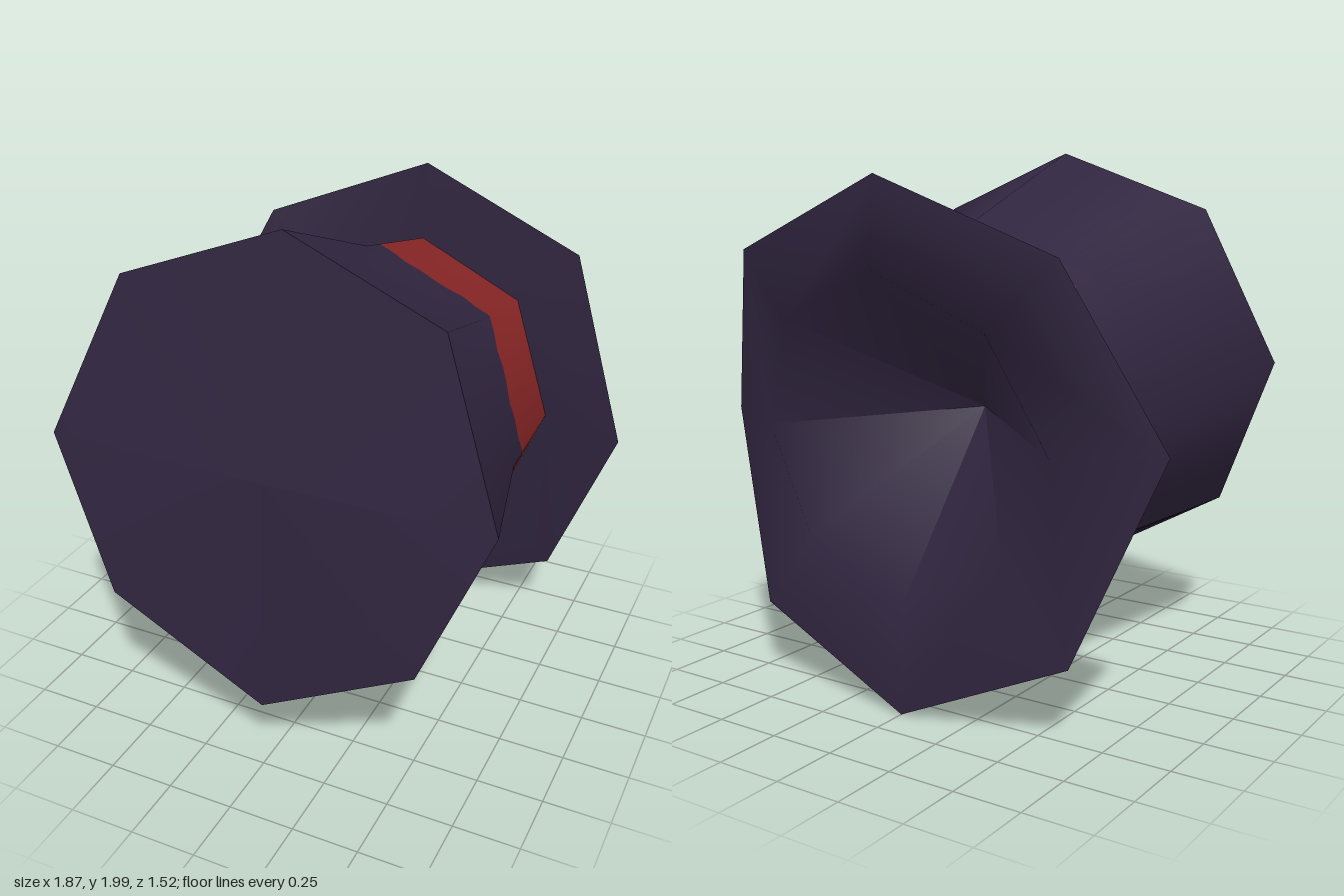
import * as THREE from 'three';

const felt = new THREE.MeshStandardMaterial({ color: 0x30253f });
felt.name = 'dark purple felt';
const ribbon = new THREE.MeshStandardMaterial({ color: 0x8a2626 });
ribbon.name = 'red ribbon';

const V = (p) => new THREE.Vector3(...p);

// Eight-cornered ring from five points of its left half, top to bottom
function ring(half) {
  const left = half.map(V);
  const mirrored = left.map((p) => new THREE.Vector3(-p.x, p.y, p.z));
  return [...mirrored, left[3], left[2], left[1]];
}

// Skin between successive rings; normals are smooth unless given
function loft(name, material, rings, normals) {
  const n = rings[0].length;
  const index = [];
  for (let r = 0; r < rings.length - 1; r++) {
    for (let i = 0; i < n; i++) {
      const j = (i + 1) % n;
      const a = r * n + i, a2 = r * n + j, b = a + n, b2 = a2 + n;
      index.push(a, b, a2, a2, b, b2);
    }
  }
  const geometry = new THREE.BufferGeometry().setFromPoints(rings.flat());
  geometry.setIndex(index);
  if (normals) {
    const flat = normals.flat().flatMap((v) => v.toArray());
    geometry.setAttribute('normal', new THREE.Float32BufferAttribute(flat, 3));
  } else geometry.computeVertexNormals();
  const mesh = new THREE.Mesh(geometry, material);
  mesh.name = name;
  return mesh;
}

// Adds evenly spaced points along each edge of a ring
const STEPS = 8;
const subdivide = (corners) => corners.flatMap((p, i) => {
  const q = corners[(i + 1) % corners.length];
  return Array.from({ length: STEPS }, (_, s) => p.clone().lerp(q, s / STEPS));
});

// Rounded wall normals at the corners of a ring, given the slope from a to b
const wallNormals = (a, b) => a.map((p, i) => {
  const slope = b[i].clone().sub(p).normalize();
  const angle = Math.PI / 2 + i * Math.PI / 4;
  const out = new THREE.Vector3(Math.cos(angle), Math.sin(angle), 0);
  return out.addScaledVector(slope, -out.dot(slope)).normalize();
});

export function createModel() {
  const hat = new THREE.Group();
  hat.name = 'hat';

  const top = ring([[0, 2, 0.5], [0.59, 1.78, 0.56], [0.835, 1.19, 0.7], [0.595, 0.61, 0.76], [0, 0.28, 0.745]]);
  const waist = ring([[0, 1.74, -0.15], [0.47, 1.55, -0.1], [0.66, 1.06, 0.01], [0.47, 0.57, 0.09], [0, 0.37, 0.11]]);
  const base = ring([[0, 1.6, -0.7], [0.43, 1.42, -0.65], [0.61, 1, -0.54], [0.43, 0.56, -0.55], [0, 0.365, -0.57]]);
  const rim = ring([[0, 1.9, -0.73], [0.66, 1.64, -0.655], [0.935, 1.01, -0.42], [0.66, 0.3, -0.575], [0, 0.01, -0.615]]);
  const opening = ring([[0, 1.59, -0.76], [0.42, 1.4, -0.705], [0.6, 1, -0.605], [0.42, 0.6, -0.6], [0, 0.41, -0.6]]);
  const at = (p) => top.map(() => V(p));

  // Flat end of the crown
  hat.add(loft('crownTop', felt, [at([0, 1.17, 0.68]), top]));

  // Crown wall, with a ragged line where the ribbon starts
  const upper = wallNormals(top, waist);
  const lower = wallNormals(waist, base);
  const middle = upper.map((v, i) => v.clone().add(lower[i]).normalize());
  const [topRing, waistRing, baseRing] = [top, waist, base].map(subdivide);
  const [topN, waistN, baseN] = [upper, middle, lower].map((c) => subdivide(c).map((v) => v.normalize()));
  const raggedAt = waistRing.map((p, i) => {
    const jitter = 0.02 * Math.sin(i * 2.3) + 0.012 * Math.sin(i * 5.1 + 1);
    return 0.25 + 0.07 * (1.06 - p.y) + jitter;
  });
  const ragged = waistRing.map((p, i) => p.clone().lerp(baseRing[i], raggedAt[i]));
  const raggedN = waistN.map((v, i) => v.clone().lerp(baseN[i], raggedAt[i]).normalize());
  hat.add(loft('crownWall', felt, [topRing, waistRing, ragged], [topN, waistN, raggedN]));
  hat.add(loft('ribbonBand', ribbon, [ragged, baseRing], [raggedN, baseN]));

  // Curled brim with a sharp rim, and the hollow behind it
  hat.add(loft('brimFront', felt, [base, rim]));
  hat.add(loft('brimBackAndHollow', felt, [rim, opening, at([0, 1.05, -0.08])]));
  return hat;
}
